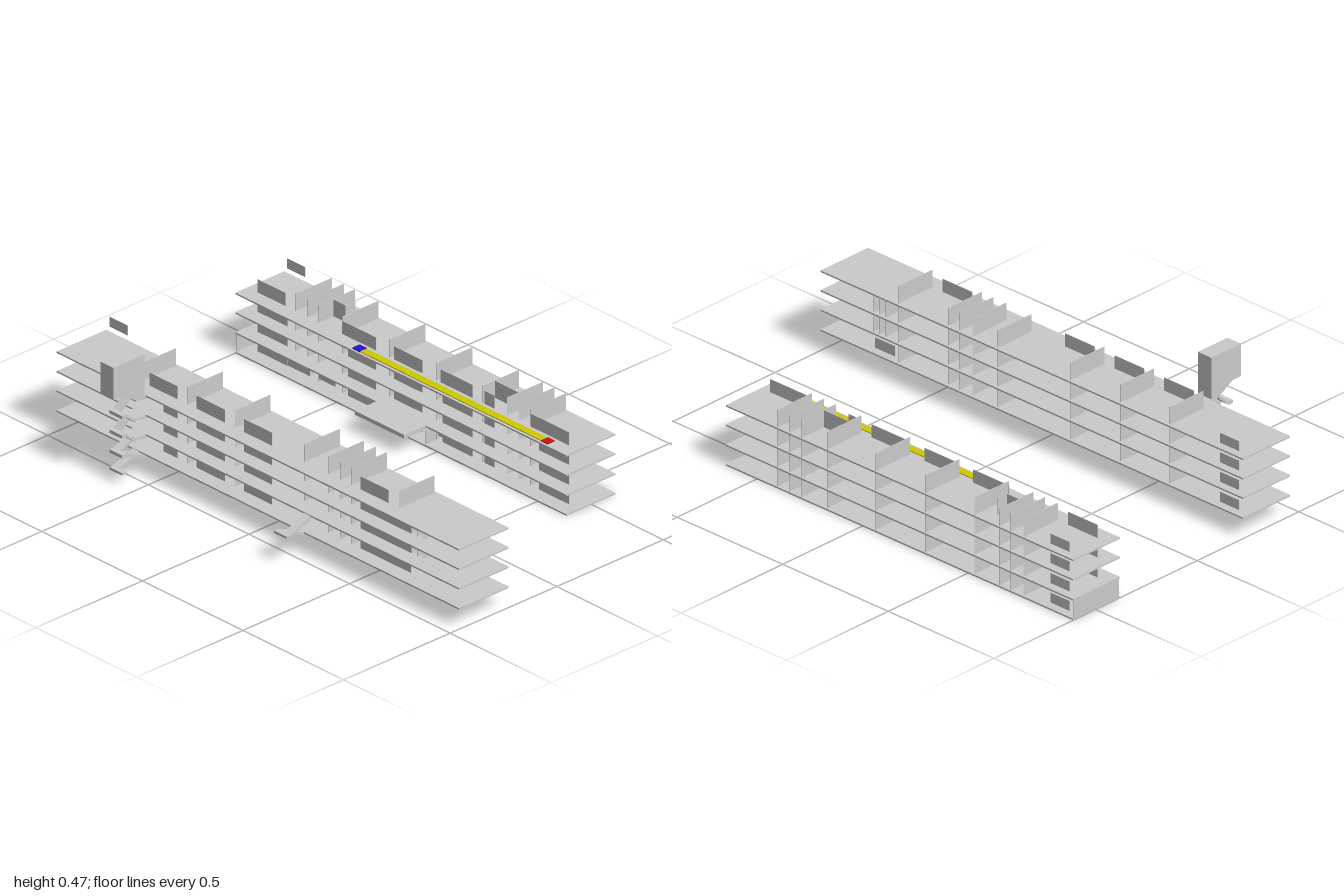
import * as THREE from 'three';

const grey = new THREE.MeshStandardMaterial({ color: 0xcccccc, side: THREE.DoubleSide, flatShading: true });
const tint = (color) => new THREE.MeshStandardMaterial({ color });

// Box given by its extents on each axis
function box(parent, name, [x0, x1], [y0, y1], [z0, z1], material = grey) {
  const mesh = new THREE.Mesh(new THREE.BoxGeometry(x1 - x0, y1 - y0, z1 - z0), material);
  mesh.position.set((x0 + x1) / 2, (y0 + y1) / 2, (z0 + z1) / 2);
  mesh.name = name;
  parent.add(mesh);
}

// Side profile of [z, y] points, extruded along x
function profile(parent, name, points, x0, x1) {
  const shape = new THREE.Shape(points.map(([z, y]) => new THREE.Vector2(-z, y)));
  const geometry = new THREE.ExtrudeGeometry(shape, { depth: x1 - x0, bevelEnabled: false });
  geometry.rotateY(Math.PI / 2);
  const mesh = new THREE.Mesh(geometry, grey);
  mesh.position.x = x0;
  mesh.name = name;
  parent.add(mesh);
}

// Open floors with cross walls, facade panels and floor signs
function building({ name, x, z, wallZ, panelZ, signZ, floors, walls, panels, topPanels }) {
  const group = new THREE.Group();
  group.name = name;
  floors.forEach((y, i) => {
    const top = i === floors.length - 1;
    const rise = top ? 0.07 : floors[i + 1] - y - 0.003;
    box(group, 'floorSlab', x, [y - 0.003, y + 0.003], z);
    for (const w of walls) box(group, 'crossWall', [w - 0.001, w + 0.001], [y + 0.003, y + rise], wallZ);
    for (const p of top ? topPanels : panels) {
      box(group, 'facadePanel', p, [y + 0.004, y + 0.054], [panelZ - 0.001, panelZ + 0.001]);
    }
    box(group, 'floorSign', [-0.98, -0.89], [y + 0.024, y + 0.062], [signZ - 0.001, signZ + 0.001]);
  });
  return group;
}

// Flight of stairs as a sloping slab
function flight(parent, z0, y0, z1, y1, x0, x1) {
  const t = 0.012;
  profile(parent, 'stairFlight', [[z0, y0], [z1, y1], [z1, y1 - t], [z0, y0 - t]], x0, x1);
}

export function createModel() {
  const model = new THREE.Group();

  const frontFloors = [0.08, 0.157, 0.232, 0.307];
  const front = building({
    name: 'frontBuilding', x: [-1, 1], z: [0.225, 0.458], wallZ: [0.235, 0.4], panelZ: 0.4, signZ: 0.228,
    floors: frontFloors,
    walls: [-0.645, -0.41, -0.175, 0.17, 0.29, 0.35, 0.405, 0.64],
    panels: [[-0.53, -0.46], [-0.365, -0.225], [-0.13, 0.01], [0.45, 0.7]],
    topPanels: [[-0.6, -0.46], [-0.365, -0.225], [-0.13, 0.01], [0.45, 0.59]],
  });
  model.add(front);
  // Stairwell walls at the far end of the middle floors
  for (const x of [0.7, 0.73, 0.757]) {
    for (const y of frontFloors.slice(1, 3)) {
      box(front, 'stairwellWall', [x - 0.001, x + 0.001], [y + 0.003, y + 0.072], [0.235, 0.4]);
    }
  }
  box(front, 'endSign', [0.65, 0.745], [0.105, 0.145], [0.227, 0.229]);

  const rear = building({
    name: 'rearBuilding', x: [-1, 0.645], z: [-0.61, -0.38], wallZ: [-0.605, -0.437], panelZ: -0.437, signZ: -0.605,
    floors: [0.005, 0.08, 0.157, 0.232],
    walls: [-0.76, -0.7, -0.645, -0.528, -0.295, -0.06, 0.17, 0.29, 0.347, 0.405],
    panels: [[-0.95, -0.8], [-0.5, -0.36], [-0.27, -0.13], [-0.03, 0.12], [0.18, 0.23], [0.45, 0.6]],
    topPanels: [[-0.95, -0.81], [-0.53, -0.36], [-0.27, -0.13], [-0.04, 0.12], [0.18, 0.23], [0.41, 0.6]],
  });
  model.add(rear);
  box(rear, 'groundEndWall', [-1, -0.997], [0.005, 0.08], [-0.605, -0.385]);
  box(rear, 'groundLongPanel', [-0.95, -0.69], [0.01, 0.07], [-0.44, -0.438]);
  box(rear, 'roomDivider', [0.17, 0.29], [0.235, 0.3], [-0.496, -0.494]);
  box(rear, 'roomDivider', [-0.645, -0.585], [0.235, 0.3], [-0.506, -0.504]);
  box(rear, 'roomDivider', [-0.586, -0.584], [0.235, 0.3], [-0.55, -0.505]);

  // Entrance canopy with side walls and signs beneath it
  box(rear, 'canopy', [-0.3, -0.055], [0.068, 0.083], [-0.28, -0.38]);
  for (const x of [-0.297, -0.06]) box(rear, 'entranceSideWall', [x, x + 0.002], [0.008, 0.062], [-0.435, -0.385]);
  for (const x of [-0.39, -0.05]) box(rear, 'entranceSign', [x, x + 0.085], [0.028, 0.065], [-0.437, -0.435]);
  box(rear, 'entranceSign', [-0.645, -0.56], [0.02, 0.06], [-0.437, -0.435]);

  // Coloured route along the upper walkway, with its two end markers
  box(rear, 'routeStrip', [-0.39, 0.51], [0.235, 0.238], [-0.42, -0.39], tint(0xd2c800));
  box(rear, 'routeStart', [-0.427, -0.39], [0.235, 0.239], [-0.422, -0.388], tint(0x2010d0));
  box(rear, 'routeEnd', [0.51, 0.543], [0.235, 0.239], [-0.422, -0.388], tint(0xd01010));

  // Outside stair tower
  const tower = new THREE.Group();
  tower.name = 'stairTower';
  model.add(tower);
  const [xl, xm, xr] = [-0.62, -0.588, -0.556];
  for (let i = 0; i < 3; i++) {
    const y = frontFloors[i], next = frontFloors[i + 1], mid = (y + next) / 2;
    const inner = i === 0 ? 0.46 : 0.505;
    flight(tower, inner, y, 0.55, mid, xm, xr);
    flight(tower, 0.55, mid, inner, next, xl, xm);
    box(tower, 'halfLanding', [xl, xr], [mid - 0.012, mid], [0.55, 0.57]);
    box(tower, 'floorLanding', [xl, xr], [next - 0.004, next + 0.003], [0.455, 0.507]);
  }
  flight(tower, 0.46, 0.083, 0.555, 0.05, xl, xm);
  box(tower, 'footLanding', [xl, xr], [0.041, 0.05], [0.55, 0.57]);
  profile(tower, 'towerHead',
    [[0.61, 0.47], [0.465, 0.47], [0.465, 0.308], [0.505, 0.308], [0.57, 0.345], [0.61, 0.345]], xl, xr);

  // Smaller stair joining the two lower floors
  const side = new THREE.Group();
  side.name = 'sideStair';
  model.add(side);
  flight(side, 0.458, 0.083, 0.55, 0.117, 0.2, 0.23);
  flight(side, 0.55, 0.117, 0.458, 0.157, 0.23, 0.262);
  box(side, 'halfLanding', [0.2, 0.262], [0.108, 0.117], [0.548, 0.57]);

  return model;
}
